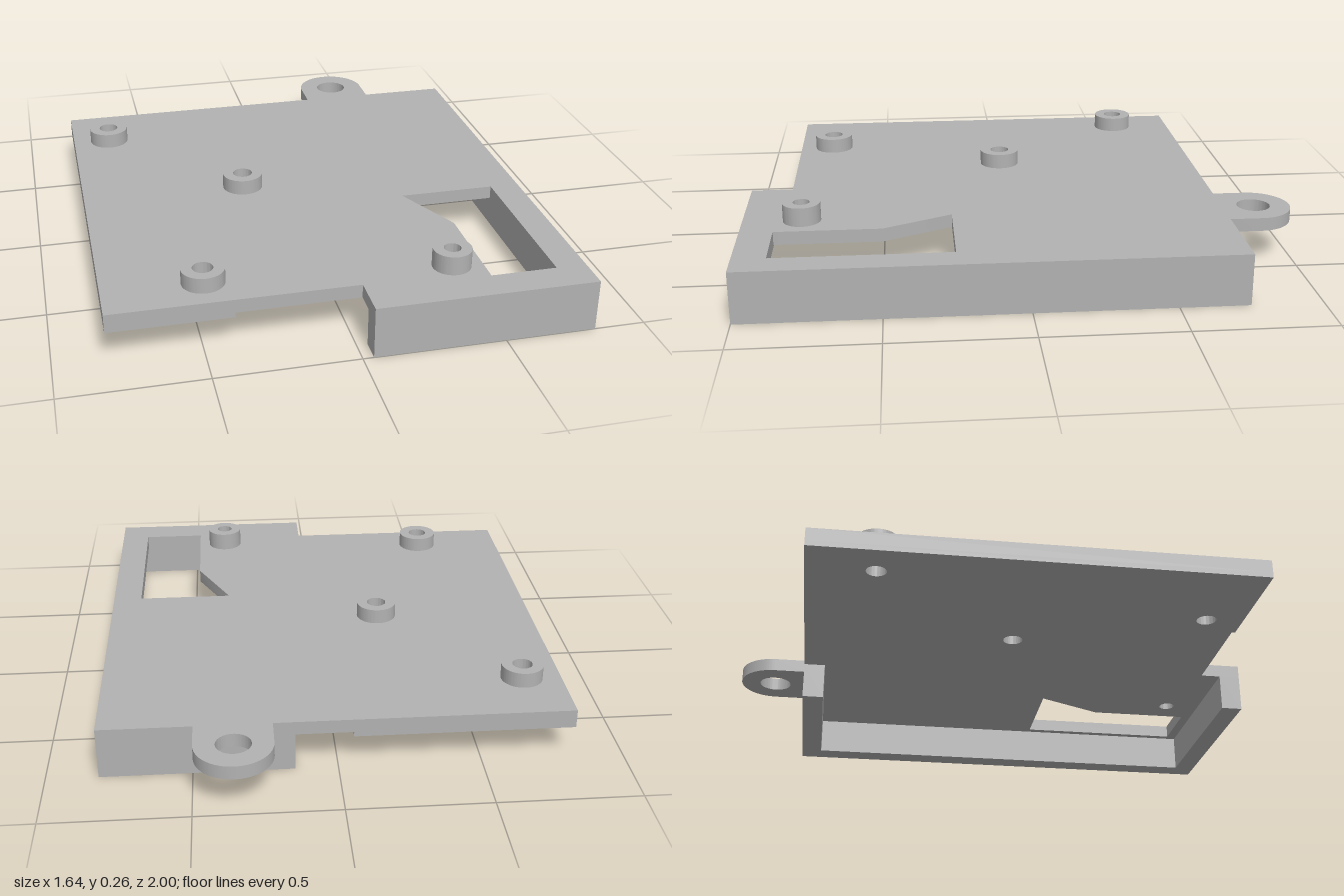
import * as THREE from 'three';
import { toCreasedNormals } from 'three/addons/utils/BufferGeometryUtils.js';

const TOP = 0.187, PLATE_BOTTOM = 0.138, PAD_BOTTOM = 0.12;

// Standoffs: position, outer radius, bore radius, top height
const STANDOFFS = [
  { x: -0.68, z: -0.505, r: 0.075, bore: 0.036, top: 0.243 },
  { x: -0.217, z: 0.033, r: 0.075, bore: 0.036, top: 0.243 },
  { x: -0.478, z: 0.71, r: 0.075, bore: 0.036, top: 0.243 },
  { x: 0.368, z: 0.787, r: 0.068, bore: 0.03, top: 0.256 },
];

// Plan outlines are given as [x, z]; shapes use y = -z
const toPoints = (pts) => pts.map(([x, z]) => new THREE.Vector2(x, -z));
const circle = (x, z, r) => new THREE.Path().absarc(x, -z, r, 0, Math.PI * 2, true);

export function createModel() {
  const model = new THREE.Group();
  const gray = new THREE.MeshStandardMaterial({ color: 0xb2b2b2 });
  gray.name = 'gray';

  // Extrude a plan shape vertically between two heights
  function slab(name, shape, y0, y1) {
    const geo = new THREE.ExtrudeGeometry(shape, {
      depth: y1 - y0, bevelEnabled: false, curveSegments: 40,
    });
    geo.rotateX(-Math.PI / 2);
    geo.translate(0, y0, 0);
    const mesh = new THREE.Mesh(toCreasedNormals(geo, 0.6), gray);
    mesh.name = name;
    model.add(mesh);
  }

  // Main plate with the rounded hanging tab
  const tab = { x: 0.358, z: -0.865, r: 0.135 };
  const plate = new THREE.Shape(toPoints([
    [-0.823, -0.747], [-0.823, 0.845], [0.038, 0.845], [0.038, 1],
    [0.82, 1], [0.82, -0.747], [tab.x + tab.r, -0.747],
  ]));
  plate.lineTo(tab.x + tab.r, -tab.z);
  plate.absarc(tab.x, -tab.z, tab.r, 0, Math.PI, false);
  plate.lineTo(tab.x - tab.r, 0.747);
  plate.closePath();
  plate.holes.push(circle(tab.x, tab.z, 0.061));
  for (const s of STANDOFFS) plate.holes.push(circle(s.x, s.z, s.bore));
  // Angled window opening
  plate.holes.push(new THREE.Path(toPoints([
    [0.358, 0.25], [0.712, 0.25], [0.712, 0.882], [0.477, 0.882], [0.477, 0.5], [0.358, 0.25],
  ])));
  slab('plate', plate, PLATE_BOTTOM, TOP);

  // Stepped thicker pad under the plate
  const pad = new THREE.Shape(toPoints([
    [-0.823, -0.747], [-0.823, 0.845], [-0.393, 0.845], [-0.393, 0.52],
    [-0.053, 0.52], [-0.053, -0.747],
  ]));
  for (const s of STANDOFFS.slice(0, 3)) pad.holes.push(circle(s.x, s.z, s.bore));
  slab('underPad', pad, PAD_BOTTOM, PLATE_BOTTOM);

  // Skirt wall along the back, side and front
  const skirt = new THREE.Shape(toPoints([
    [0.148, -0.747], [0.148, -0.667], [0.738, -0.667], [0.738, 0.92],
    [0.038, 0.92], [0.038, 1], [0.82, 1], [0.82, -0.747],
  ]));
  slab('skirtWall', skirt, 0, PLATE_BOTTOM);

  // Hollow standoffs
  for (const s of STANDOFFS) {
    const ring = new THREE.Shape().absarc(s.x, -s.z, s.r, 0, Math.PI * 2, false);
    ring.holes.push(circle(s.x, s.z, s.bore));
    slab('standoff', ring, TOP, s.top);
  }

  return model;
}
